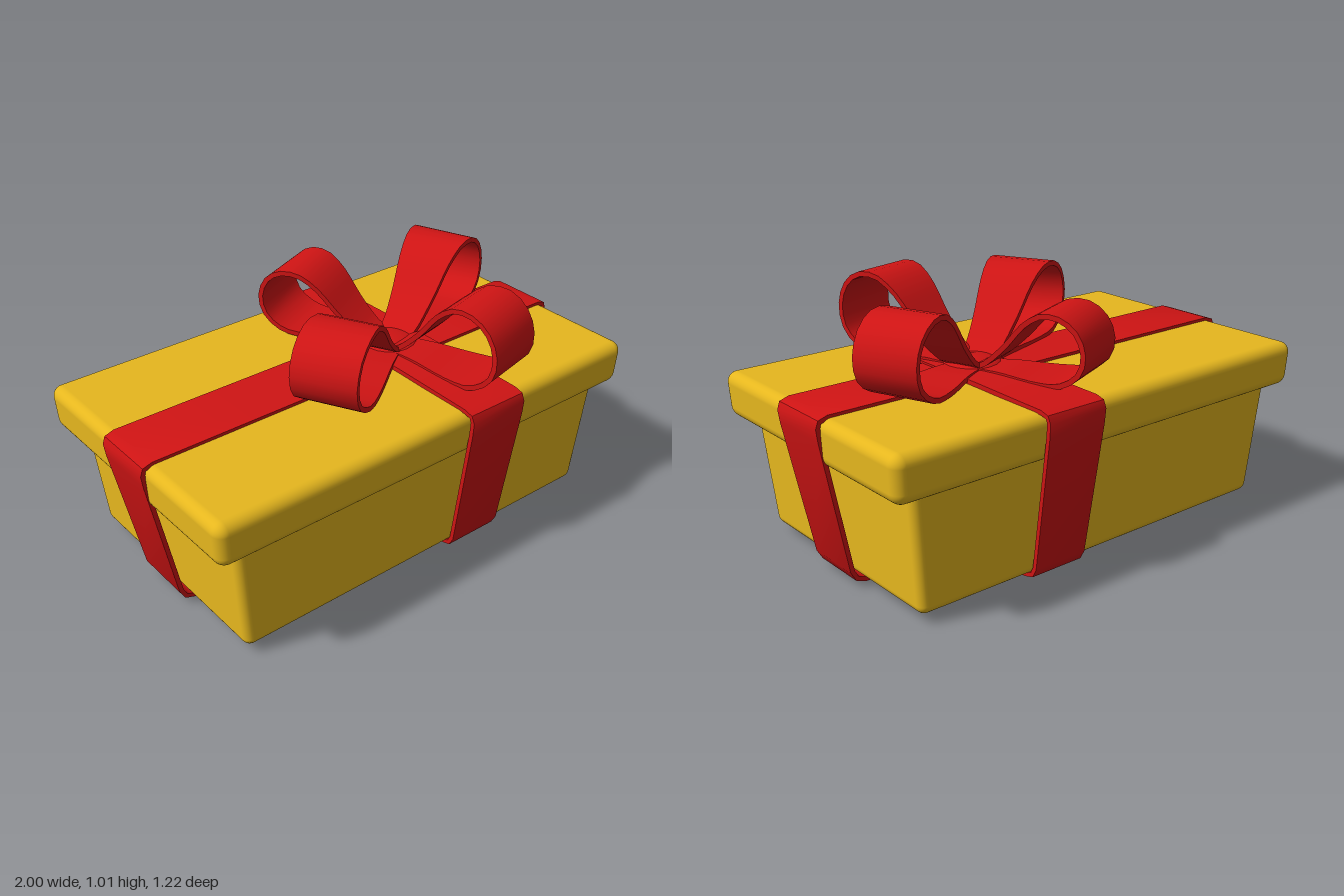
import * as THREE from 'three';
import { toCreasedNormals } from 'three/addons/utils/BufferGeometryUtils.js';
import { RoundedBoxGeometry } from 'three/addons/geometries/RoundedBoxGeometry.js';

const yellow = new THREE.MeshStandardMaterial({ color: 0xe6b71e });
const red = new THREE.MeshStandardMaterial({ color: 0xd01414 });

function part(name, geometry, material) {
  const mesh = new THREE.Mesh(geometry, material);
  mesh.name = name;
  return mesh;
}

// Rounded box whose bottom is narrower than its top by the given factors.
function taperedBox(w, y0, y1, d, radius, sx, sz) {
  const geo = new RoundedBoxGeometry(w, y1 - y0, d, 4, radius);
  const p = geo.attributes.position;
  for (let i = 0; i < p.count; i++) {
    const t = 0.5 - p.getY(i) / (y1 - y0);
    p.setX(i, p.getX(i) * (1 + (sx - 1) * t));
    p.setZ(i, p.getZ(i) * (1 + (sz - 1) * t));
  }
  return geo.translate(0, (y0 + y1) / 2, 0);
}

// Closed flat band following a counter-clockwise path of Vector2 in the xy plane.
function band(path, halfWidth, thickness) {
  const pos = [], index = [], n = path.length;
  path.forEach((p, i) => {
    const t = path[(i + 1) % n].clone().sub(path[(i + n - 1) % n]).normalize();
    const nx = t.y * thickness / 2, ny = -t.x * thickness / 2, w = halfWidth(p);
    pos.push(p.x + nx, p.y + ny, w, p.x - nx, p.y - ny, w,
      p.x - nx, p.y - ny, -w, p.x + nx, p.y + ny, -w);
    const j = (i + 1) % n;
    for (let k = 0; k < 4; k++) {
      const l = (k + 1) % 4;
      const a = i * 4 + k, b = i * 4 + l, c = j * 4 + l, d = j * 4 + k;
      index.push(a, d, b, b, d, c);
    }
  });
  const geo = new THREE.BufferGeometry();
  geo.setAttribute('position', new THREE.Float32BufferAttribute(pos, 3));
  geo.setIndex(index);
  return toCreasedNormals(geo, 0.8);
}

// Ribbon around the box: half a path, mirrored.
function wrap(half) {
  const right = half.map(([x, y]) => new THREE.Vector2(x, y));
  const left = right.slice().reverse().map((p) => new THREE.Vector2(-p.x, p.y));
  return band([...right, ...left], (p) => 0.117 + 0.02 * p.y, 0.018);
}

// Teardrop bow loop, narrow at the knot.
function bowLoop(length, top) {
  const h = top - 0.69;
  const profile = [[0.04, 0.02], [0.3, 0.03], [0.6, 0.02], [0.8, 0.06], [0.94, 0.24],
    [0.98, 0.5], [0.93, 0.78], [0.81, 0.95], [0.66, 0.96], [0.52, 0.8], [0.34, 0.42], [0.16, 0.12]];
  const curve = new THREE.CatmullRomCurve3(
    profile.map(([r, y]) => new THREE.Vector3(r * length, 0.69 + y * h, 0)), true);
  const path = curve.getSpacedPoints(30).slice(0, 30).map((p) => new THREE.Vector2(p.x, p.y));
  return band(path, (p) => 0.07 + 0.062 * THREE.MathUtils.smoothstep(p.x / length, 0, 0.85), 0.02);
}

export function createModel() {
  const model = new THREE.Group();
  model.name = 'giftBox';

  // Box and lid
  model.add(part('boxBody', taperedBox(1.78, 0.035, 0.55, 1.05, 0.035, 0.945, 0.945), yellow));
  model.add(part('lid', taperedBox(1.965, 0.498, 0.68, 1.155, 0.045, 0.99, 0.985), yellow));

  // Ribbons
  model.add(part('longRibbon', wrap([[0, 0.012], [0.5, 0.015], [0.82, 0.024], [0.855, 0.036],
    [0.875, 0.07], [0.982, 0.6], [0.989, 0.65], [0.982, 0.673], [0.95, 0.683], [0.5, 0.683]]), red));
  const cross = part('crossRibbon', wrap([[0, 0.026], [0.46, 0.027], [0.5, 0.038], [0.517, 0.07],
    [0.597, 0.6], [0.602, 0.655], [0.592, 0.677], [0.56, 0.685], [0.2, 0.691]]), red);
  cross.rotation.y = Math.PI / 2;
  cross.position.x = 0.24;
  model.add(cross);

  // Bow: four loops (x and z of tip from the knot, top height) and a knot
  const bow = new THREE.Group();
  bow.name = 'bow';
  bow.position.x = 0.23;
  const loops = [['frontLoop', 0.13, 0.56, 1.015], ['backLoop', -0.205, -0.49, 0.965],
    ['leftLoop', 0.54, -0.21, 1.0], ['rightLoop', -0.575, 0.3, 1.0]];
  for (const [name, x, z, top] of loops) {
    const loop = part(name, bowLoop(Math.hypot(x, z), top), red);
    loop.rotation.y = Math.atan2(-z, x);
    bow.add(loop);
  }
  const knot = part('knot', new THREE.SphereGeometry(1, 16, 10), red);
  knot.scale.set(0.12, 0.04, 0.115);
  knot.position.y = 0.69;
  bow.add(knot);
  model.add(bow);
  return model;
}
